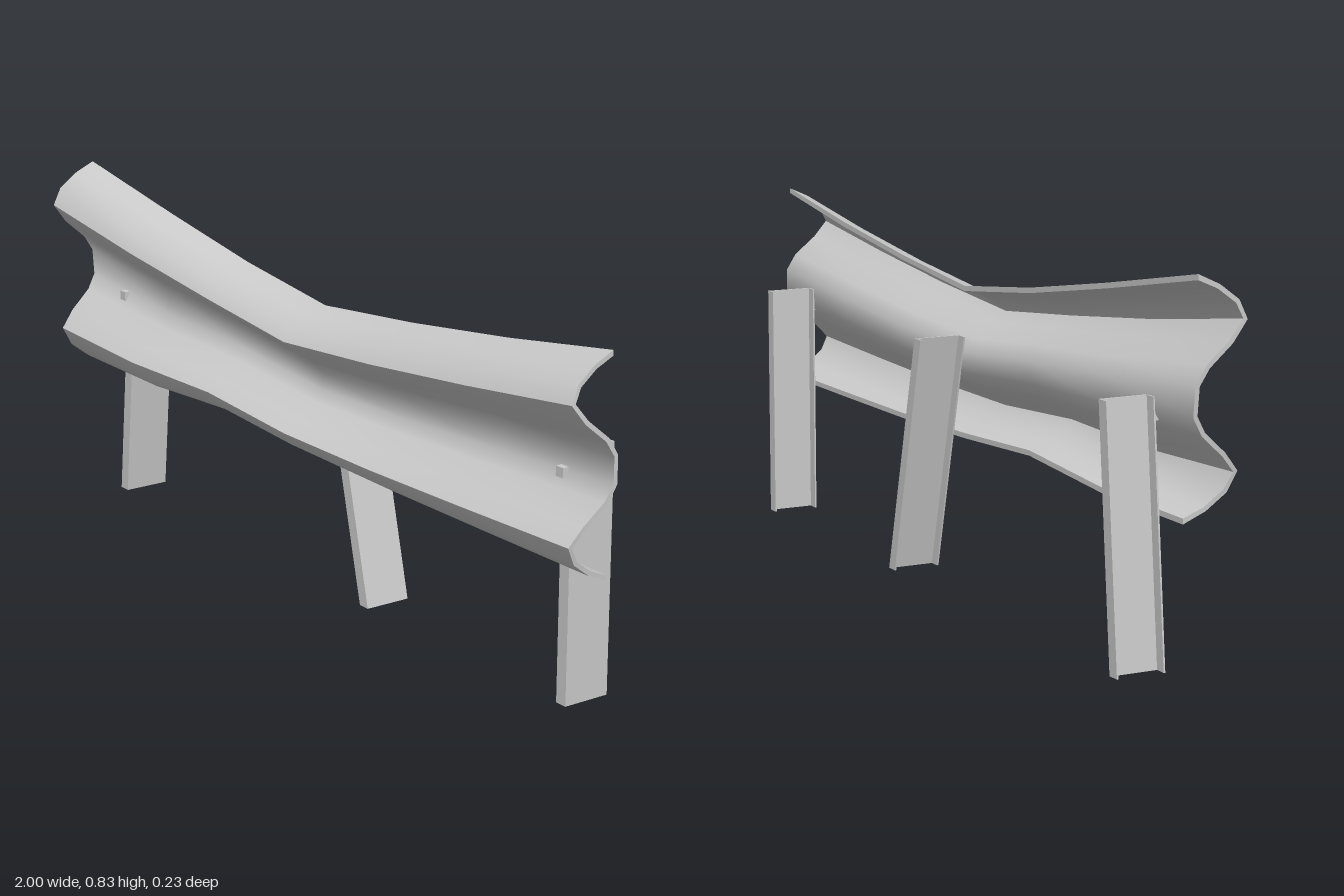
import * as THREE from 'three';
import { toCreasedNormals } from 'three/addons/utils/BufferGeometryUtils.js';

const material = new THREE.MeshStandardMaterial({ color: 0xcccccc });
const THICK = 0.01;

// Front face of the W profile: [height fraction, z]
const PROFILE = [
  [1, 0], [0.955, 0.05], [0.89, 0.095], [0.81, 0.115], [0.72, 0.082], [0.63, 0.03], [0.56, 0.009],
  [0.44, 0.009], [0.37, 0.03], [0.28, 0.082], [0.2, 0.115], [0.115, 0.095], [0.045, 0.05], [0, 0],
];

// Dented rail stations: [x, bottom y, top y]
const STATIONS = [
  [-1, 0.32, 0.828], [-0.64, 0.32, 0.765], [-0.31, 0.342, 0.712], [0, 0.326, 0.676],
  [0.32, 0.318, 0.708], [0.65, 0.316, 0.75], [1, 0.315, 0.8],
];

// Closed cross-section of one station: front face down, back face up
function crossSection([x, bottom, top], index) {
  const front = PROFILE.map(([t, z]) => new THREE.Vector2(z, bottom + t * (top - bottom)));
  const last = front.length - 1;
  const back = front.map((p, i) => {
    if (i === 0) return new THREE.Vector2(0, p.y - THICK * 1.2);
    if (i === last) return new THREE.Vector2(0, p.y + THICK * 1.2);
    const d = front[i + 1].clone().sub(front[i - 1]).normalize();
    return new THREE.Vector2(p.x + d.y * THICK, p.y - d.x * THICK);
  });
  // The torn ends are not quite square
  const xAt = (t) => {
    if (index === 0) return -1 + 0.045 * Math.pow(Math.max(0, 1 - t / 0.65), 1.3);
    if (index === STATIONS.length - 1) return 0.977 + 0.023 * Math.sin(Math.PI * t);
    return x;
  };
  const place = (p, i) => new THREE.Vector3(xAt(PROFILE[i][0]), p.y, p.x);
  return [...front.map(place), ...back.map(place).reverse()];
}

function railGeometry() {
  const rings = STATIONS.map(crossSection);
  const n = rings[0].length;
  const positions = rings.flat().flatMap((p) => [p.x, p.y, p.z]);
  const index = [];
  const quad = (a, b, c, d) => index.push(a, b, c, a, c, d);
  for (let s = 0; s < rings.length - 1; s++) {
    for (let i = 0; i < n; i++) {
      const j = (i + 1) % n;
      quad(s * n + i, s * n + j, (s + 1) * n + j, (s + 1) * n + i);
    }
  }
  // End caps join front and back faces
  const end = (rings.length - 1) * n;
  for (let i = 0; i < n / 2 - 1; i++) {
    const a = i, b = i + 1, c = n - 2 - i, d = n - 1 - i;
    quad(a, d, c, b);
    quad(end + a, end + b, end + c, end + d);
  }
  const geometry = new THREE.BufferGeometry();
  geometry.setAttribute('position', new THREE.Float32BufferAttribute(positions, 3));
  geometry.setIndex(index);
  return toCreasedNormals(geometry, 0.9);
}

// C-channel post with its web on +x, sheared to lean sideways
function postGeometry(bottomX, topX) {
  const w = 0.015, depth = 0.113, t = 0.004, height = 0.56;
  const shape = new THREE.Shape([
    [-w, 0], [w, 0], [w, depth], [-w, depth], [-w, depth - t], [w - t, depth - t], [w - t, t], [-w, t],
  ].map(([x, y]) => new THREE.Vector2(x, y)));
  const geometry = new THREE.ExtrudeGeometry(shape, { depth: height, bevelEnabled: false });
  geometry.rotateX(-Math.PI / 2);
  const pos = geometry.attributes.position;
  for (let i = 0; i < pos.count; i++) {
    pos.setX(i, pos.getX(i) + THREE.MathUtils.lerp(bottomX, topX, pos.getY(i) / height));
  }
  geometry.computeVertexNormals();
  return geometry;
}

export function createModel() {
  const group = new THREE.Group();
  const add = (name, geometry) => {
    const mesh = new THREE.Mesh(geometry, material);
    mesh.name = name;
    group.add(mesh);
    return mesh;
  };

  add('rail', railGeometry());

  // Posts
  for (const [name, bottomX, topX] of [
    ['rightPost', -0.88, -0.826], ['middlePost', 0.15, 0.012], ['leftPost', 0.845, 0.845],
  ]) add(name, postGeometry(bottomX, topX));

  // Bolt heads in the valley of the rail
  for (const [name, x, y] of [['rightBolt', -0.83, 0.522], ['leftBolt', 0.85, 0.517]]) {
    const bolt = add(name, new THREE.BoxGeometry(0.022, 0.022, 0.024));
    bolt.position.set(x, y, 0.012);
  }
  return group;
}
